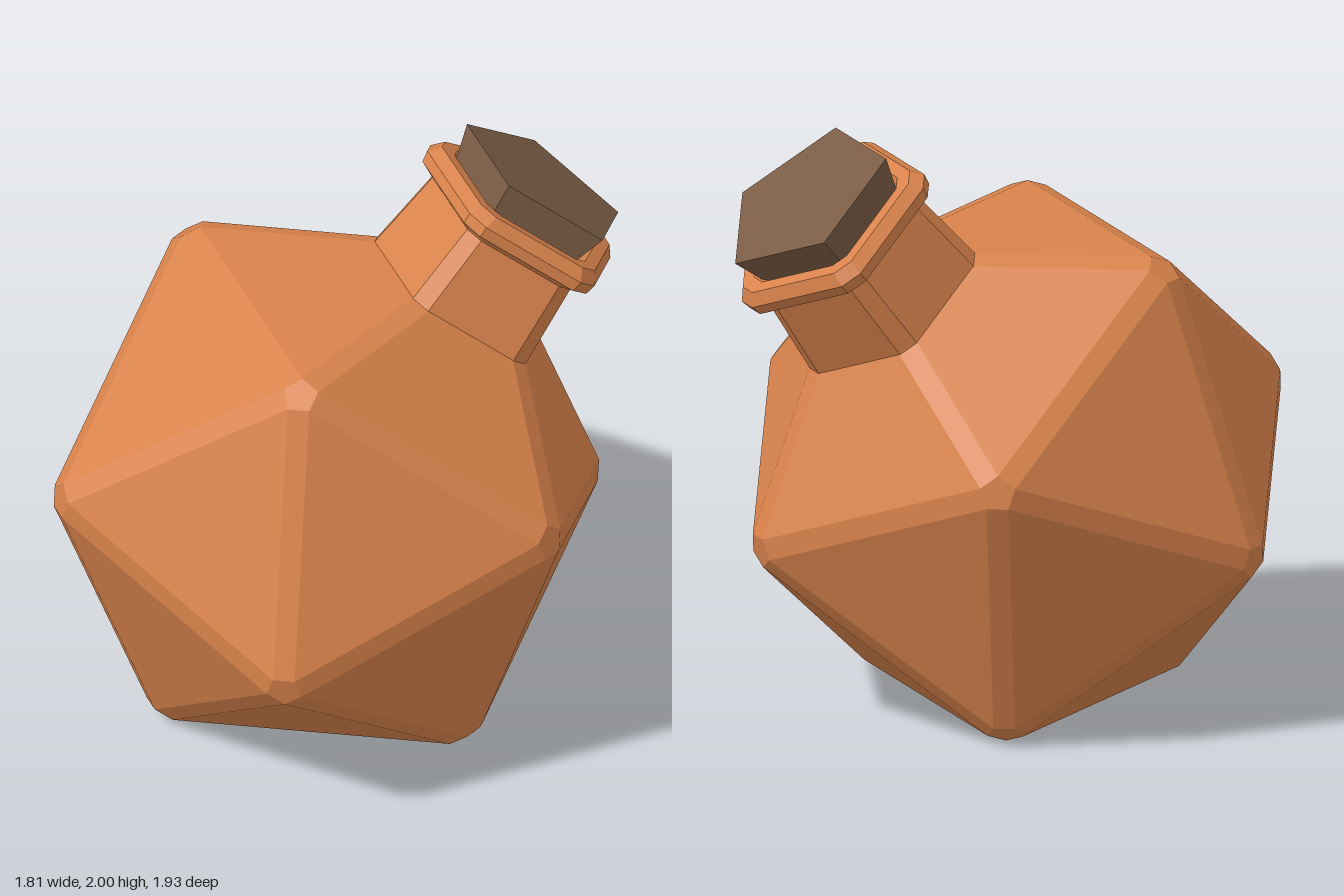
import * as THREE from 'three';
import { ConvexGeometry } from 'three/addons/geometries/ConvexGeometry.js';

const CENTRE = new THREE.Vector3(-0.04, 0.81, 0);
const INRADIUS = 0.81;               // centre to face
const R = INRADIUS / 0.7947;         // centre to corner
const EDGE = R * 1.0515;
const TURN = 26.8;                   // heading of the neck, degrees from +x towards +z

// Corners of an icosahedron resting on a face, the first one carries the neck
function icosahedronCorners() {
  const corners = [];
  const ring = (radius, height, start) => {
    for (let k = 0; k < 3; k++) {
      const a = THREE.MathUtils.degToRad(start + k * 120);
      corners.push(new THREE.Vector3(Math.cos(a) * radius, height, Math.sin(a) * radius).multiplyScalar(R));
    }
  };
  ring(0.607, 0.7947, TURN);
  ring(0.9822, 0.1876, TURN + 60);
  ring(0.9822, -0.1876, TURN);
  ring(0.607, -0.7947, TURN + 60);
  return corners;
}

// Inset every triangular face and wrap the result, which bevels edges and corners
function bevelledBody(corners, inset) {
  const points = [];
  const near = (a, b) => a.distanceTo(b) < EDGE * 1.1;
  for (let i = 0; i < 12; i++)
    for (let j = i + 1; j < 12; j++)
      for (let k = j + 1; k < 12; k++) {
        const tri = [corners[i], corners[j], corners[k]];
        if (!near(tri[0], tri[1]) || !near(tri[1], tri[2]) || !near(tri[0], tri[2])) continue;
        const mid = new THREE.Vector3().add(tri[0]).add(tri[1]).add(tri[2]).divideScalar(3);
        for (const c of tri) points.push(c.clone().lerp(mid, inset / c.distanceTo(mid)));
      }
  return new ConvexGeometry(points);
}

// Lathe with five sides and narrow bevelled corners, one corner on +x
function pentagonLathe(profile, halfBevel) {
  const geo = new THREE.LatheGeometry(profile.map(([r, y]) => new THREE.Vector2(r, y)), 10);
  const pos = geo.attributes.position;
  for (let v = 0; v < pos.count; v++) {
    const step = Math.floor(v / profile.length);
    const r = profile[v % profile.length][0];
    const a = Math.PI / 2 + Math.floor(step / 2) * Math.PI * 0.4 + (step % 2 ? halfBevel : -halfBevel);
    pos.setXYZ(v, r * Math.sin(a), pos.getY(v), r * Math.cos(a));
  }
  const flat = geo.toNonIndexed();
  flat.computeVertexNormals();
  return flat;
}

export function createModel() {
  const model = new THREE.Group();
  model.name = 'flask';
  const clay = new THREE.MeshStandardMaterial({ color: 0xd9834c, flatShading: true });
  const corkBrown = new THREE.MeshStandardMaterial({ color: 0x7a5b45, flatShading: true });
  const add = (parent, name, geometry, material) => {
    const mesh = new THREE.Mesh(geometry, material);
    mesh.name = name;
    parent.add(mesh);
    return mesh;
  };

  // Faceted body
  const corners = icosahedronCorners();
  add(model, 'body', bevelledBody(corners, 0.078), clay).position.copy(CENTRE);

  // Frame along the neck: y runs outwards, x points at a neighbouring corner
  const axis = corners[0].clone().normalize();
  const side = corners[1].clone().addScaledVector(axis, -corners[1].dot(axis)).normalize();
  const top = new THREE.Group();
  top.name = 'top';
  top.quaternion.setFromRotationMatrix(
    new THREE.Matrix4().makeBasis(side, axis, side.clone().cross(axis)));
  top.position.copy(CENTRE);
  model.add(top);

  // Neck and flared rim
  add(top, 'neck', pentagonLathe([[0.352, 0.74], [0.345, 0.80], [0.315, 1.10]], 0.1), clay);
  add(top, 'rim', pentagonLathe([
    [0.31, 1.085], [0.375, 1.115], [0.383, 1.155], [0.35, 1.195],
    [0.30, 1.195], [0.27, 1.165], [0, 1.15],
  ], 0.1), clay);

  // Tapered five-sided stopper
  const cork = new THREE.CylinderGeometry(0.325, 0.26, 0.2, 5);
  cork.rotateY(Math.PI / 2);
  add(top, 'stopper', cork, corkBrown).position.y = 1.2;

  return model;
}
